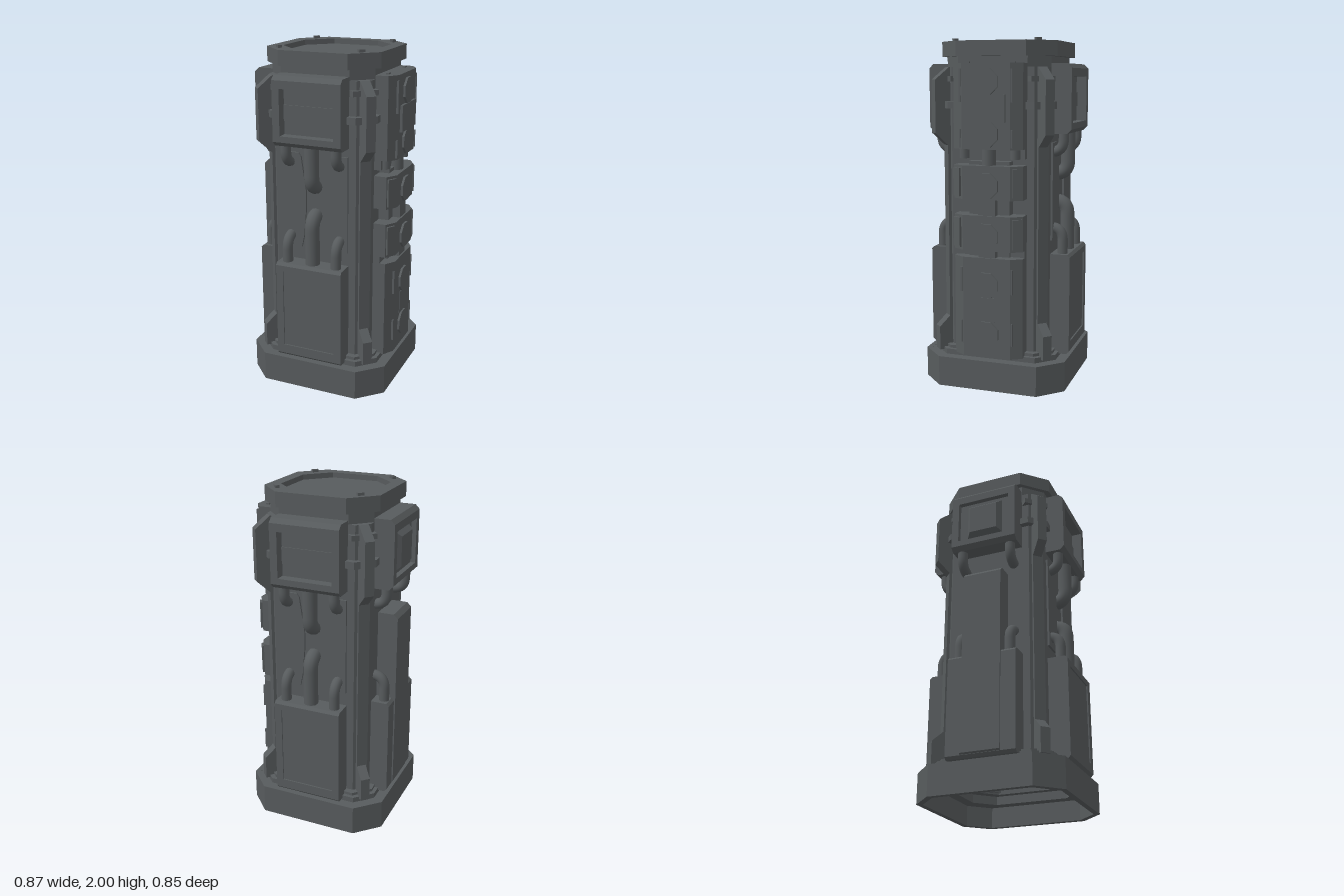
import * as THREE from 'three';

const metal = new THREE.MeshStandardMaterial({ color: 0x575b5d });
metal.name = 'gunmetal grey';

export function createModel() {
  const model = new THREE.Group();
  model.name = 'reactorPillar';
  const body = new THREE.Group();
  body.name = 'body';
  body.position.x = -0.007;
  model.add(body);

  const add = (parent, name, geo) => {
    const m = new THREE.Mesh(geo, metal);
    m.name = name;
    parent.add(m);
    return m;
  };
  const box = (parent, name, x0, x1, y0, y1, z0, z1) => add(parent, name,
    new THREE.BoxGeometry(x1 - x0, y1 - y0, z1 - z0).translate((x0 + x1) / 2, (y0 + y1) / 2, (z0 + z1) / 2));
  const toShape = (pts) => new THREE.Shape(pts.map(([a, b]) => new THREE.Vector2(a, b)));
  const extrude = (shape, depth) => new THREE.ExtrudeGeometry(shape, { depth, bevelEnabled: false });
  // (x, z) outline raised from y0 to y1, with an optional hole
  const prism = (pts, y0, y1, hole) => {
    const flip = (p) => p.map(([x, z]) => [x, -z]).reverse();
    const s = toShape(flip(pts));
    if (hole) s.holes.push(toShape(flip(hole).reverse()));
    return extrude(s, y1 - y0).rotateX(-Math.PI / 2).translate(0, y0, 0);
  };
  // (z, y) side profile swept between x0 and x1
  const sweep = (pts, x0, x1) => extrude(toShape(pts), x1 - x0).rotateY(-Math.PI / 2).translate(x1, 0, 0);
  // octagon with half size a and half flat f
  const oct = (a, f) => [[a, -f], [a, f], [f, a], [-f, a], [-a, f], [-a, -f], [-f, -a], [f, -a]];
  const side = (name, angle) => {
    const g = new THREE.Group();
    g.name = name;
    g.rotation.y = angle;
    body.add(g);
    return g;
  };
  const W = 0.203;

  // hollow base, collar, core and recessed cap
  add(body, 'baseSkirt', prism(oct(0.427, 0.295), 0, 0.175, oct(0.395, 0.28)));
  add(body, 'baseInnerRing', prism(oct(0.4, 0.285), 0.12, 0.174, oct(0.33, 0.22)));
  add(body, 'collar', prism(oct(0.367, 0.27), 0.17, 0.205, oct(0.29, 0.19)));
  add(body, 'coreShell', prism(oct(0.31, 0.245), 0.2, 0.6, oct(0.27, 0.17)));
  add(body, 'core', prism(oct(0.31, 0.245), 0.6, 1.84));
  add(body, 'neck', prism(oct(0.31, 0.205), 1.84, 1.91));
  add(body, 'cap', prism(oct(0.343, 0.205), 1.9, 1.955));
  add(body, 'capRim', prism(oct(0.343, 0.205), 1.955, 1.985, oct(0.273, 0.14)));

  // elbow pipe from (u, y0) that turns into the core at y1
  const pipe = (g, u, y0, y1, r) => {
    const d = Math.sign(y1 - y0), z = 0.402 - r, b = 0.075;
    const v = (y, zz) => new THREE.Vector3(u, y, zz);
    const path = new THREE.CurvePath();
    path.add(new THREE.LineCurve3(v(y0 - d * 0.02, z), v(y1 - d * b, z)));
    path.add(new THREE.QuadraticBezierCurve3(v(y1 - d * b, z), v(y1, z), v(y1, z - b)));
    path.add(new THREE.LineCurve3(v(y1, z - b), v(y1, 0.26)));
    add(g, 'pipe', new THREE.TubeGeometry(path, 24, r, 12, false));
  };
  const sidePipes = (g) => [-0.152, 0.152].forEach((u) => {
    pipe(g, u, 0.78, 0.93, 0.03);
    pipe(g, u, 1.47, 1.365, 0.03);
  });
  // block with chamfered upper and lower outer edges
  const block = (g, name, y0, y1, z1, c, x0 = -W, x1 = W) => add(g, name,
    sweep([[0.28, y0], [z1 - c, y0], [z1, y0 + c], [z1, y1 - c], [z1 - c, y1], [0.28, y1]], x0, x1));
  // chamfered block with a framed inset panel
  const framed = (g, name, y0, y1, c, inset, lo, hi) => {
    const z = 0.427, b = z - inset, o = 0.16;
    box(g, name + 'Body', -W, W, y0, y1, 0.28, z - Math.max(c, inset));
    add(g, name + 'BottomRail', sweep([[0.3, y0], [z - c, y0], [z, y0 + c], [z, lo], [0.3, lo]], -W, W));
    add(g, name + 'TopRail', sweep([[0.3, hi], [z, hi], [z, y1 - c], [z - c, y1], [0.3, y1]], -W, W));
    box(g, name + 'SideRail', -W, -o, lo, hi, 0.3, z);
    box(g, name + 'SideRail', o, W, lo, hi, 0.3, z);
    box(g, name + 'Inset', -o, o, lo, hi, 0.3, b);
  };

  // front and back: framed cabinets joined by pipes
  [['front', 0], ['back', Math.PI]].forEach(([name, a]) => {
    const g = side(name + 'Face', a);
    framed(g, 'lowerCabinet', 0.19, 0.78, 0.015, 0.008, 0.26, 0.73);
    framed(g, 'upperCabinet', 1.47, 1.86, 0.025, 0.06, 1.53, 1.79);
    box(g, 'louvre', -0.16, 0.16, 1.615, 1.695, 0.36, 0.374);
    [-1, 1].forEach((s) => add(g, 'recessPlate', extrude(toShape([[0.2, 0.86], [0.085, 0.86], [0.07, 0.93],
      [0.055, 1.1], [0.055, 1.2], [0.085, 1.4], [0.1, 1.42], [0.2, 1.42]].map(([x, y]) => [s * x, y])), 0.014)
      .translate(0, 0, 0.308)));
    sidePipes(g);
    pipe(g, 0, 0.78, 1.062, 0.042);
    pipe(g, 0, 1.47, 1.228, 0.042);
  });

  // -x face: tall vent column and a framed cabinet with a raised boss
  const vent = side('ventFace', -Math.PI / 2);
  block(vent, 'lowerCabinet', 0.19, 0.78, 0.42, 0.015);
  block(vent, 'ventColumn', 0.19, 1.3, 0.428, 0.025, -0.115, 0.115);
  framed(vent, 'upperCabinet', 1.47, 1.86, 0.025, 0.03, 1.53, 1.79);
  const boss = new THREE.CylinderGeometry(0.085 * Math.SQRT2, 0.115 * Math.SQRT2, 0.035, 4).rotateY(Math.PI / 4)
    .rotateX(Math.PI / 2).translate(0, 1.66, 0.41);
  add(vent, 'raisedBoss', boss.toNonIndexed()).geometry.computeVertexNormals();
  sidePipes(vent);

  // +x face: stacked modules with octagonal discs
  const stack = side('moduleFace', Math.PI / 2);
  const section = [[-W, 0.28], [-W, 0.385], [-0.14, 0.424], [0.14, 0.424], [W, 0.385], [W, 0.28]].reverse();
  [[0.2, 0.78], [0.82, 1.02], [1.11, 1.3], [1.39, 1.86]].forEach(([y0, y1]) =>
    add(stack, 'module', prism(section, y0, y1)));
  box(stack, 'backStrip', -0.12, 0.12, 0.7, 1.32, 0.28, 0.37);
  box(stack, 'backStrip', -W, W, 0.77, 0.83, 0.28, 0.35);
  box(stack, 'crossBar', -W, W, 1.335, 1.4, 0.28, 0.35);
  box(stack, 'connector', -0.05, 0.05, 0.77, 1.12, 0.28, 0.415);
  add(stack, 'neckPipe', new THREE.CylinderGeometry(0.04, 0.04, 0.12, 12).translate(0, 1.345, 0.37));
  [0.34, 0.625, 0.905, 1.19, 1.475, 1.76].forEach((y) =>
    add(stack, 'disc', new THREE.CylinderGeometry(0.077, 0.077, 0.02, 8).toNonIndexed()
      .rotateY(Math.PI / 8).rotateX(Math.PI / 2).translate(0, y, 0.427)).geometry.computeVertexNormals());
  box(stack, 'coverPlate', -0.115, 0.115, 1.54, 1.69, 0.4, 0.439);
  box(stack, 'linkPlate', -0.05, 0.05, 0.41, 0.55, 0.4, 0.427);
  [-1, 1].forEach((s) => {
    // slim strips and side clips
    [[0.28, 0.41], [0.58, 0.72], [1.4, 1.5], [1.65, 1.83]].forEach(([y0, y1]) =>
      box(stack, 'strip', s * 0.15 - 0.005, s * 0.15 + 0.005, y0, y1, 0.39, 0.427));
    [[0.835, 1.005], [1.125, 1.285]].forEach(([y0, y1]) => {
      const clip = add(stack, 'clip', new THREE.BoxGeometry(0.055, y1 - y0, 0.03));
      clip.position.set(s * 0.173, (y0 + y1) / 2, 0.4);
      clip.rotation.y = s * 0.55;
    });
    add(stack, 'smallPipe', new THREE.CylinderGeometry(0.028, 0.028, 0.07, 10).translate(s * 0.15, 1.37, 0.36));
    box(stack, 'topStud', s * 0.133 - 0.017, s * 0.133 + 0.017, 1.85, 1.868, 0.35, 0.366);
  });

  // diagonal corner fins, clamps and cap bolts
  const clampOutline = [[-0.105, 0.33], [0.105, 0.33], [0.105, 0.38], [0.065, 0.425], [-0.065, 0.425], [-0.105, 0.38]];
  for (let i = 0; i < 4; i++) {
    const g = side('corner', Math.PI / 4 + i * Math.PI / 2);
    add(g, 'fin', sweep([[0.33, 0.19], [0.475, 0.19], [0.475, 0.33], [0.41, 0.39], [0.41, 1.4],
      [0.485, 1.47], [0.485, 1.77], [0.40, 1.84], [0.33, 1.84]], -0.028, 0.028));
    add(g, 'clamp', prism(clampOutline, 1.61, 1.65));
    add(g, 'footClamp', prism(clampOutline, 0.18, 0.222));
    box(g, 'upperClamp', -0.075, 0.075, 1.76, 1.79, 0.33, 0.41);
    box(g, 'capBolt', -0.018, 0.018, 1.98, 2, 0.336, 0.358);
  }
  return model;
}
